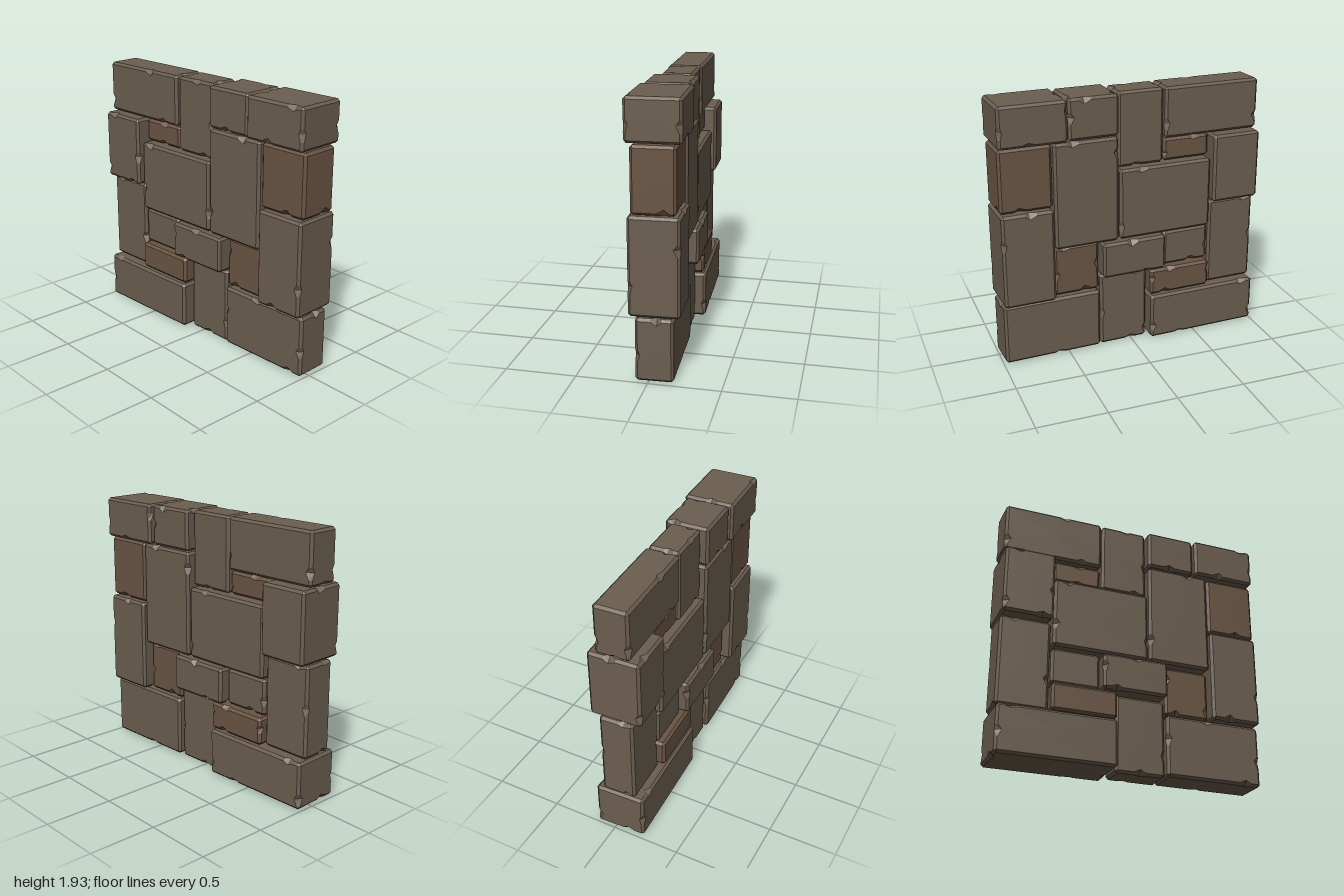
import * as THREE from 'three';

const STONE = 0x6b5e4f, BROWN = 0x6a5543;
const CHAMFER = 0.018;

// small seeded generator for the chipped edges
function seeded(seed) {
  let s = seed * 7919 + 17;
  return () => (s = (s * 16807) % 2147483647) / 2147483647;
}

// A box with chamfered edges, each edge carrying an occasional chip.
function stoneGeometry(size, rand) {
  const half = size.map((v) => v / 2);
  const positions = [];

  // every triangle is wound to face away from the stone's centre
  const tri = (a, b, c) => {
    const n = b.clone().sub(a).cross(c.clone().sub(a));
    const pts = n.dot(a.clone().add(b).add(c)) < 0 ? [a, c, b] : [a, b, c];
    pts.forEach((p) => positions.push(p.x, p.y, p.z));
  };

  // point on the face of one axis, moved in from the edge shared with another
  const facePoint = (face, fs, other, os, inset, along, t) => {
    const p = [0, 0, 0];
    p[face] = fs * half[face];
    p[other] = os * (half[other] - inset);
    p[along] = t;
    return new THREE.Vector3(...p);
  };

  for (let along = 0; along < 3; along++) {
    const a = (along + 1) % 3, b = (along + 2) % 3;
    for (const sa of [-1, 1]) for (const sb of [-1, 1]) {
      // stations along the edge: the middle one is the chip
      const end = half[along] - CHAMFER;
      const width = Math.min(0.05, end * 0.4);
      const mid = (rand() * 2 - 1) * (end - width);
      const chipped = rand() < 0.5;
      const deepA = CHAMFER + (chipped ? 0.008 + rand() * 0.02 : 0);
      const deepB = CHAMFER + (chipped ? 0.008 + rand() * 0.02 : 0);
      const stations = [-end, mid - width, mid, mid + width * 0.7, end];
      const edgeA = stations.map((t, i) => facePoint(a, sa, b, sb, i === 2 ? deepA : CHAMFER, along, t));
      const edgeB = stations.map((t, i) => facePoint(b, sb, a, sa, i === 2 ? deepB : CHAMFER, along, t));
      const centreA = new THREE.Vector3().setComponent(a, sa * half[a]);
      const centreB = new THREE.Vector3().setComponent(b, sb * half[b]);
      for (let i = 0; i < stations.length - 1; i++) {
        tri(edgeA[i], edgeA[i + 1], edgeB[i]);
        tri(edgeA[i + 1], edgeB[i + 1], edgeB[i]);
        tri(centreA, edgeA[i], edgeA[i + 1]);
        tri(centreB, edgeB[i], edgeB[i + 1]);
      }
    }
  }

  // cut corners
  for (const x of [-1, 1]) for (const y of [-1, 1]) for (const z of [-1, 1]) {
    const sign = [x, y, z];
    const corner = [0, 1, 2].map((face) => new THREE.Vector3(
      ...sign.map((s, i) => s * (half[i] - (i === face ? 0 : CHAMFER)))));
    tri(...corner);
  }

  const geometry = new THREE.BufferGeometry();
  geometry.setAttribute('position', new THREE.Float32BufferAttribute(positions, 3));
  geometry.computeVertexNormals();
  return geometry;
}

// name, z front, z back, y bottom, y top, half thickness, brown
const STONES = [
  ['topFrontStone', 0.99, 0.5, 1.635, 1.93, 0.188],
  ['topSecondStone', 0.49, 0.12, 1.635, 1.93, 0.165],
  ['topMiddleStone', 0.11, -0.24, 1.385, 1.93, 0.115],
  ['topBackStone', -0.25, -0.99, 1.56, 1.93, 0.125],
  ['upperBackStone', -0.62, -0.99, 1.04, 1.55, 0.188],
  ['upperFrontStone', 0.99, 0.61, 1.17, 1.625, 0.15, true],
  ['tallInnerStone', 0.6, 0.12, 0.85, 1.625, 0.16],
  ['largeCentreStone', 0.11, -0.61, 0.85, 1.375, 0.155],
  ['smallUpperStone', -0.25, -0.61, 1.385, 1.55, 0.1, true],
  ['middleFrontStone', 0.99, 0.61, 0.47, 1.16, 0.175],
  ['lowerInnerStone', 0.6, 0.26, 0.47, 0.84, 0.105, true],
  ['lowerCentreStone', 0.25, -0.24, 0.575, 0.84, 0.185],
  ['lowerSmallStone', -0.25, -0.61, 0.575, 0.84, 0.125],
  ['lowerFlatStone', -0.13, -0.61, 0.365, 0.565, 0.168, true],
  ['lowerBackStone', -0.62, -0.99, 0.365, 1.03, 0.125],
  ['bottomFrontStone', 0.99, 0.26, 0.01, 0.46, 0.13],
  ['bottomMiddleStone', 0.25, -0.12, 0.0, 0.565, 0.105],
  ['bottomBackStone', -0.13, -0.99, 0.01, 0.355, 0.183],
];

export function createModel() {
  const wall = new THREE.Group();
  wall.name = 'stoneWall';
  const stone = new THREE.MeshStandardMaterial({ color: STONE, flatShading: true });
  const brownStone = new THREE.MeshStandardMaterial({ color: BROWN, flatShading: true });

  STONES.forEach(([name, z1, z0, y0, y1, thick, brown], i) => {
    const geometry = stoneGeometry([thick * 2, y1 - y0, z1 - z0], seeded(i + 3));
    const mesh = new THREE.Mesh(geometry, brown ? brownStone : stone);
    mesh.name = name;
    mesh.position.set(0, (y0 + y1) / 2, (z0 + z1) / 2);
    wall.add(mesh);
  });

  // the whole wall stands slightly turned
  wall.rotation.y = 0.045;
  const model = new THREE.Group();
  model.name = 'wallSection';
  model.add(wall);
  return model;
}
